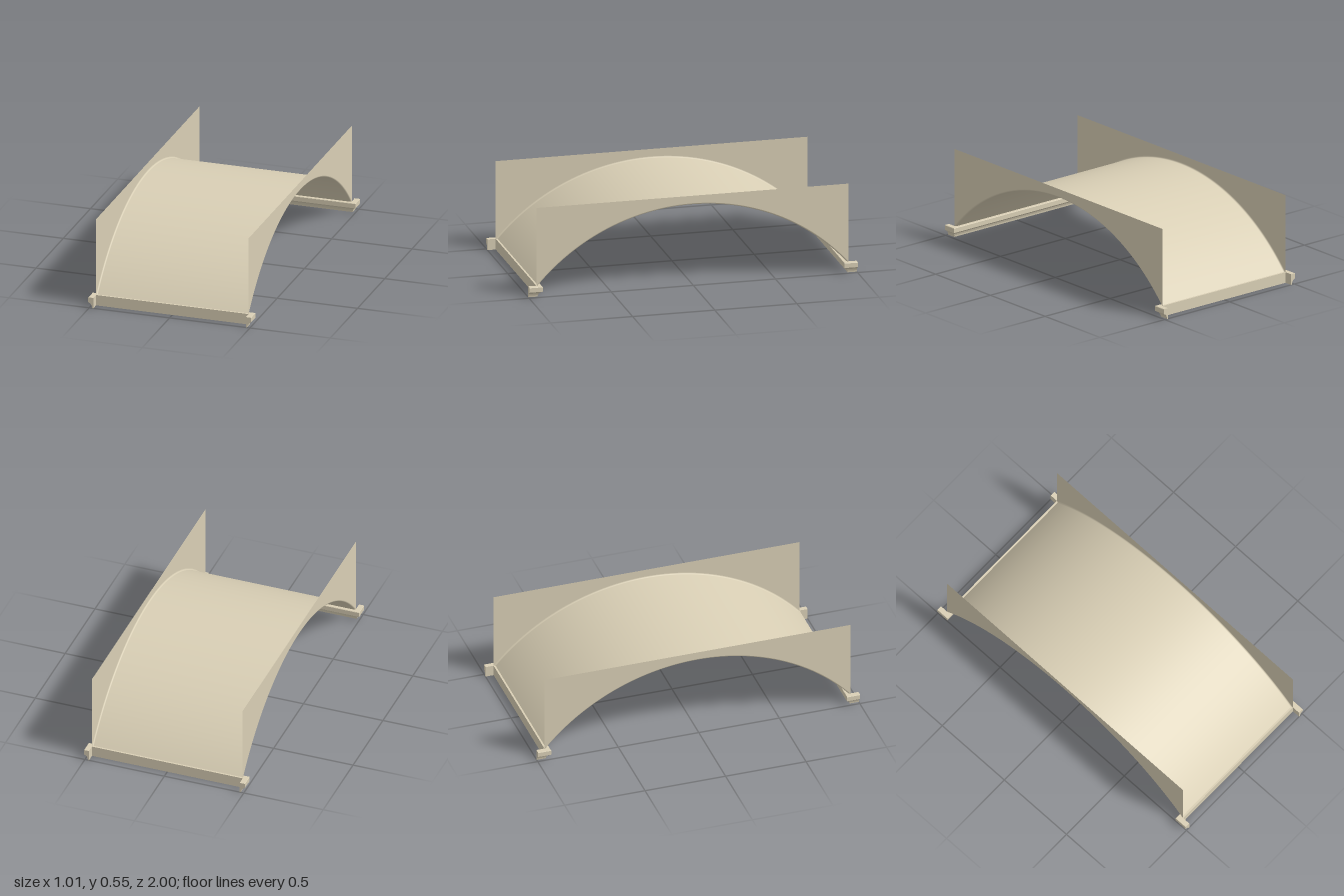
import * as THREE from 'three';

const HALF_W = 0.4745, HALF_SPAN = 0.95, SPRING = 0.066, CROWN = 0.5, WALL_TOP = 0.546;
const RISE = CROWN - SPRING;
const R = (HALF_SPAN ** 2 + RISE ** 2) / (2 * RISE);
const CENTRE_Y = CROWN - R;
const SWEEP = Math.asin(HALF_SPAN / R);
const SEGS = 56;

// point on the arch: angle from the crown, radius
const arcPoint = (t, r) => [r * Math.sin(t), CENTRE_Y + r * Math.cos(t)];

// curved underside with a small rounded arris along each side
function vaultGeometry() {
  const bead = 0.0085, section = [];
  for (let k = 0; k <= 4; k++) {
    const a = (k / 4) * Math.PI / 2;
    section.push([HALF_W - bead + bead * Math.cos(a), R - bead * Math.sin(a)]);
  }
  const full = [...section, ...section.slice().reverse().map(([x, r]) => [-x, r])];
  const n = full.length, pos = [], index = [];
  for (let i = 0; i <= SEGS; i++) {
    const t = -SWEEP + (2 * SWEEP * i) / SEGS;
    for (const [x, r] of full) {
      const [z, y] = arcPoint(t, r);
      pos.push(x, y, z);
    }
  }
  for (let i = 0; i < SEGS; i++) {
    for (let j = 0; j < n - 1; j++) {
      const a = i * n + j, b = a + 1, c = a + n, d = c + 1;
      index.push(a, b, c, b, d, c);
    }
  }
  const g = new THREE.BufferGeometry();
  g.setAttribute('position', new THREE.Float32BufferAttribute(pos, 3));
  g.setIndex(index);
  g.computeVertexNormals();
  return g;
}

// flat wall sheet above the arch
function wallGeometry() {
  const s = new THREE.Shape();
  s.moveTo(-HALF_SPAN, WALL_TOP);
  for (let i = 0; i <= SEGS; i++) {
    s.lineTo(...arcPoint(-SWEEP + (2 * SWEEP * i) / SEGS, R));
  }
  s.lineTo(HALF_SPAN, WALL_TOP);
  s.closePath();
  return new THREE.ShapeGeometry(s);
}

// moulding swept round a U-shaped path with mitred corners
function impostGeometry() {
  // projection from the wall, height
  const profile = [
    [0, 0], [0.006, 0], [0.008, 0.010], [0.013, 0.022], [0.021, 0.030],
    [0.029, 0.033], [0.032, 0.036], [0.032, 0.063], [0.030, SPRING], [0, SPRING],
  ];
  const rings = [[1, 1], [1, 0], [-1, 0], [-1, 1]].map(([side, end]) =>
    profile.map(([d, y]) => [side * (HALF_W + d), y, end ? 1 : HALF_SPAN - d]));
  const pos = [], n = profile.length;
  const tri = (...pts) => pts.forEach((p) => pos.push(...p));
  for (let i = 0; i < 3; i++) {
    for (let j = 0; j < n; j++) {
      const k = (j + 1) % n;
      const a = rings[i][j], b = rings[i][k], c = rings[i + 1][k], d = rings[i + 1][j];
      tri(a, d, c);
      tri(a, c, b);
    }
  }
  // end caps
  const faces = THREE.ShapeUtils.triangulateShape(profile.map((p) => new THREE.Vector2(...p)), []);
  for (const [a, b, c] of faces) {
    tri(rings[0][a], rings[0][b], rings[0][c]);
    tri(rings[3][a], rings[3][c], rings[3][b]);
  }
  const g = new THREE.BufferGeometry();
  g.setAttribute('position', new THREE.Float32BufferAttribute(pos, 3));
  g.computeVertexNormals();
  return g;
}

export function createModel() {
  const group = new THREE.Group();
  group.name = 'archedBay';
  const stone = new THREE.MeshStandardMaterial({ color: 0xd9cfb5, side: THREE.DoubleSide });
  stone.name = 'paleStone';

  const add = (name, geometry) => {
    const mesh = new THREE.Mesh(geometry, stone);
    mesh.name = name;
    group.add(mesh);
    return mesh;
  };

  add('vault', vaultGeometry());
  for (const side of [1, -1]) {
    const wall = add(side > 0 ? 'leftSpandrelWall' : 'rightSpandrelWall', wallGeometry());
    wall.rotation.y = side * Math.PI / 2;
    wall.position.x = side * HALF_W;
  }
  add('frontImpost', impostGeometry());
  add('backImpost', impostGeometry()).rotation.y = Math.PI;
  return group;
}
